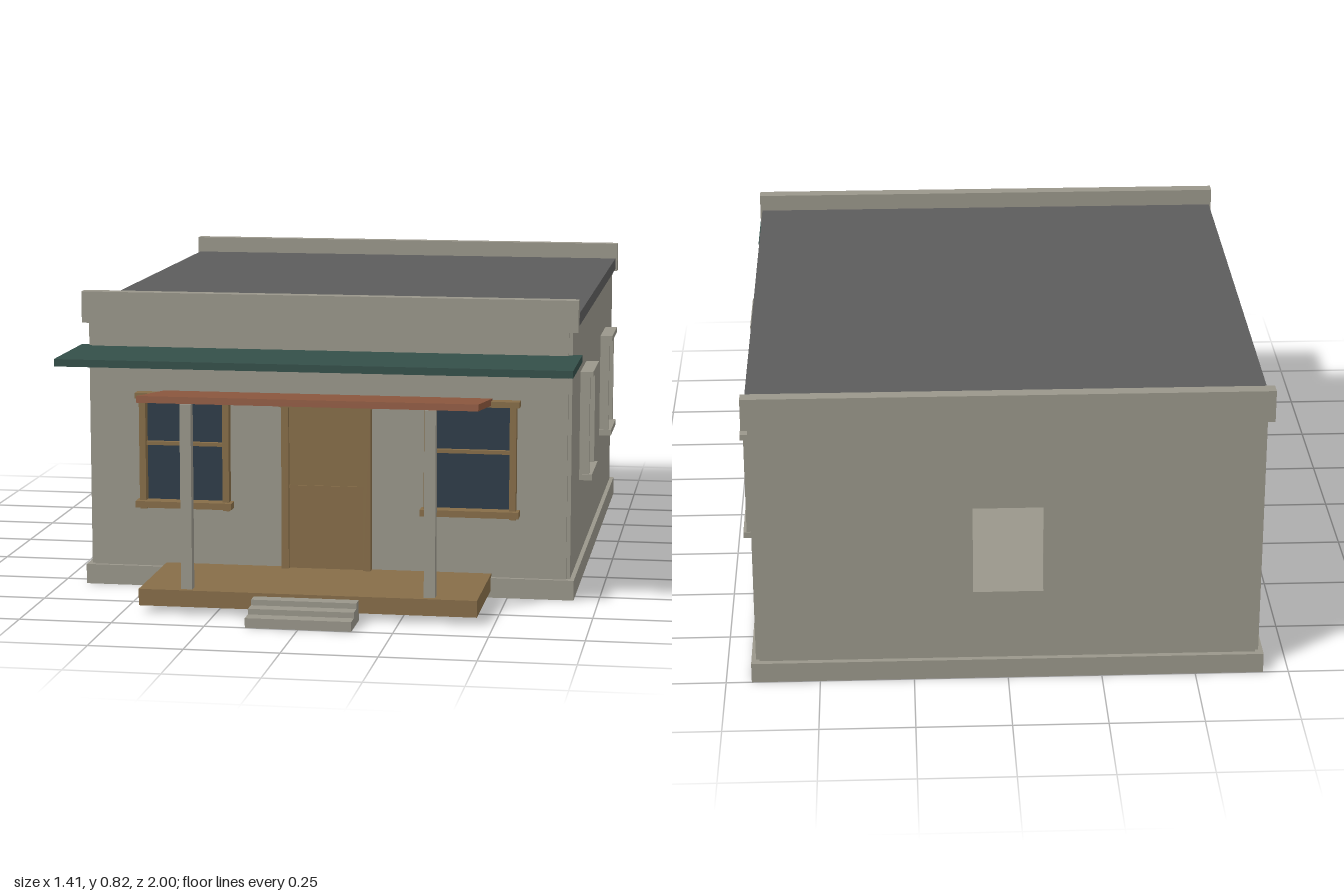
import * as THREE from 'three';

const mat = (name, color) => {
  const m = new THREE.MeshStandardMaterial({ color });
  m.name = name;
  return m;
};

export function createModel() {
  const stone = mat('stone', 0x99968a);
  const roofing = mat('roofing', 0x5c5c5c);
  const glass = mat('glass', 0x2e3c48);
  const wood = mat('wood', 0x866d48);
  const green = mat('awning green', 0x344f49);
  const rust = mat('rust red', 0x8c573e);

  const house = new THREE.Group();
  house.name = 'house';

  // Box given by its limits on each axis
  const box = (parent, name, m, x0, x1, y0, y1, z0, z1) => {
    const mesh = new THREE.Mesh(new THREE.BoxGeometry(x1 - x0, y1 - y0, z1 - z0), m);
    mesh.position.set((x0 + x1) / 2, (y0 + y1) / 2, (z0 + z1) / 2);
    mesh.name = name;
    parent.add(mesh);
    return mesh;
  };

  const rect = (path, x0, x1, y0, y1) =>
    path.moveTo(x0, y0).lineTo(x1, y0).lineTo(x1, y1).lineTo(x0, y1).closePath();

  // Facade: local +z points outwards, outer wall face at z = 0
  const T = 0.03;
  const facade = (name, x0, x1, holes, x, z, turn) => {
    const g = new THREE.Group();
    g.name = name;
    const shape = rect(new THREE.Shape(), x0, x1, 0.05, 0.742);
    holes.forEach(h => shape.holes.push(rect(new THREE.Path(), ...h)));
    const geo = new THREE.ExtrudeGeometry(shape, { depth: T, bevelEnabled: false });
    const wall = new THREE.Mesh(geo.translate(0, 0, -T), stone);
    wall.name = name + 'Wall';
    g.add(wall);
    g.position.set(x, 0, z);
    g.rotation.y = turn;
    house.add(g);
    return g;
  };

  // Plinth (its top is the floor), roof slab and end parapets
  box(house, 'plinth', stone, -0.682, 0.682, 0, 0.055, -1, 0.552);
  box(house, 'roof', roofing, -0.68, 0.68, 0.74, 0.775, -0.97, 0.515);
  box(house, 'frontParapet', stone, -0.686, 0.686, 0.735, 0.822, 0.51, 0.547);
  box(house, 'backParapet', stone, -0.686, 0.686, 0.735, 0.822, -1, -0.965);

  // Front wall with two sash windows and a door
  const frontHoles = [-0.397, 0.397].map(c => [c - 0.112, c + 0.112, 0.243, 0.532]);
  const front = facade('front', -0.66, 0.66, frontHoles, 0, 0.54, 0);
  for (const c of [-0.397, 0.397]) {
    const w = new THREE.Group();
    w.name = 'frontWindow';
    w.position.x = c;
    front.add(w);
    box(w, 'pane', glass, -0.115, 0.115, 0.24, 0.535, -0.008, 0);
    box(w, 'head', wood, -0.135, 0.135, 0.531, 0.547, -0.005, 0.037);
    box(w, 'sill', wood, -0.135, 0.135, 0.227, 0.245, -0.005, 0.042);
    box(w, 'meetingRail', wood, -0.11, 0.11, 0.399, 0.409, -0.005, 0.015);
    for (const s of [-1, 1]) {
      box(w, 'jamb', wood, s * 0.117 - 0.009, s * 0.117 + 0.009, 0.24, 0.535, -0.005, 0.027);
      box(w, 'bracket', wood, s * 0.117 - 0.009, s * 0.117 + 0.009, 0.22, 0.23, 0, 0.022);
    }
  }
  const door = new THREE.Group();
  door.name = 'door';
  front.add(door);
  box(door, 'doorPanelLower', wood, -0.107, 0.107, 0.06, 0.289, -0.005, 0.012);
  box(door, 'doorPanelUpper', wood, -0.107, 0.107, 0.298, 0.52, -0.005, 0.012);
  box(door, 'doorRail', wood, -0.107, 0.107, 0.289, 0.298, -0.005, 0.016);
  for (const s of [-1, 1]) box(door, 'doorJamb', wood, s * 0.114 - 0.01, s * 0.114 + 0.01, 0.055, 0.52, -0.005, 0.026);
  box(door, 'doorHead', wood, -0.13, 0.13, 0.517, 0.533, -0.005, 0.034);

  // Back wall with an open window hole
  facade('back', -0.66, 0.66, [[-0.093, 0.093, 0.25, 0.495]], 0, -0.985, Math.PI);

  // Side walls, two framed windows each
  for (const s of [-1, 1]) {
    const centres = [0.155, -0.598].map(z => -s * z);
    const holes = centres.map(c => [c - 0.092, c + 0.092, 0.298, 0.575]);
    const ends = [s * 0.975, -s * 0.53].sort((a, b) => a - b);
    const side = facade(s > 0 ? 'leftSide' : 'rightSide', ends[0], ends[1], holes, s * 0.67, 0, s * Math.PI / 2);
    for (const c of centres) {
      const w = new THREE.Group();
      w.name = 'sideWindow';
      w.position.x = c;
      side.add(w);
      box(w, 'pane', glass, -0.095, 0.095, 0.295, 0.578, -0.015, -0.007);
      box(w, 'head', stone, -0.107, 0.107, 0.572, 0.588, -0.01, 0.036);
      box(w, 'sill', stone, -0.107, 0.107, 0.28, 0.297, -0.01, 0.036);
      for (const j of [-1, 1]) box(w, 'jamb', stone, j * 0.096 - 0.008, j * 0.096 + 0.008, 0.29, 0.58, -0.01, 0.027);
    }
  }

  // Flat awning and sloped porch roof
  box(house, 'awning', green, -0.695, 0.695, 0.651, 0.671, 0.512, 0.812);
  const porchRoof = box(house, 'porchRoof', rust, -0.455, 0.455, 0.551, 0.569, 0.545, 0.876);
  porchRoof.rotation.x = -0.108;

  // Porch deck, posts and steps
  box(house, 'porchDeck', wood, -0.455, 0.455, 0.02, 0.065, 0.54, 0.875);
  for (const s of [-1, 1]) box(house, 'porchPost', stone, s * 0.327 - 0.015, s * 0.327 + 0.015, 0.06, 0.565, 0.832, 0.86);
  [[0.915, 0.056], [0.957, 0.041], [1, 0.026]].forEach(([z, y], i) =>
    box(house, 'step' + (i + 1), stone, -0.141, 0.141, 0, y, z - 0.043, z));

  return house;
}
